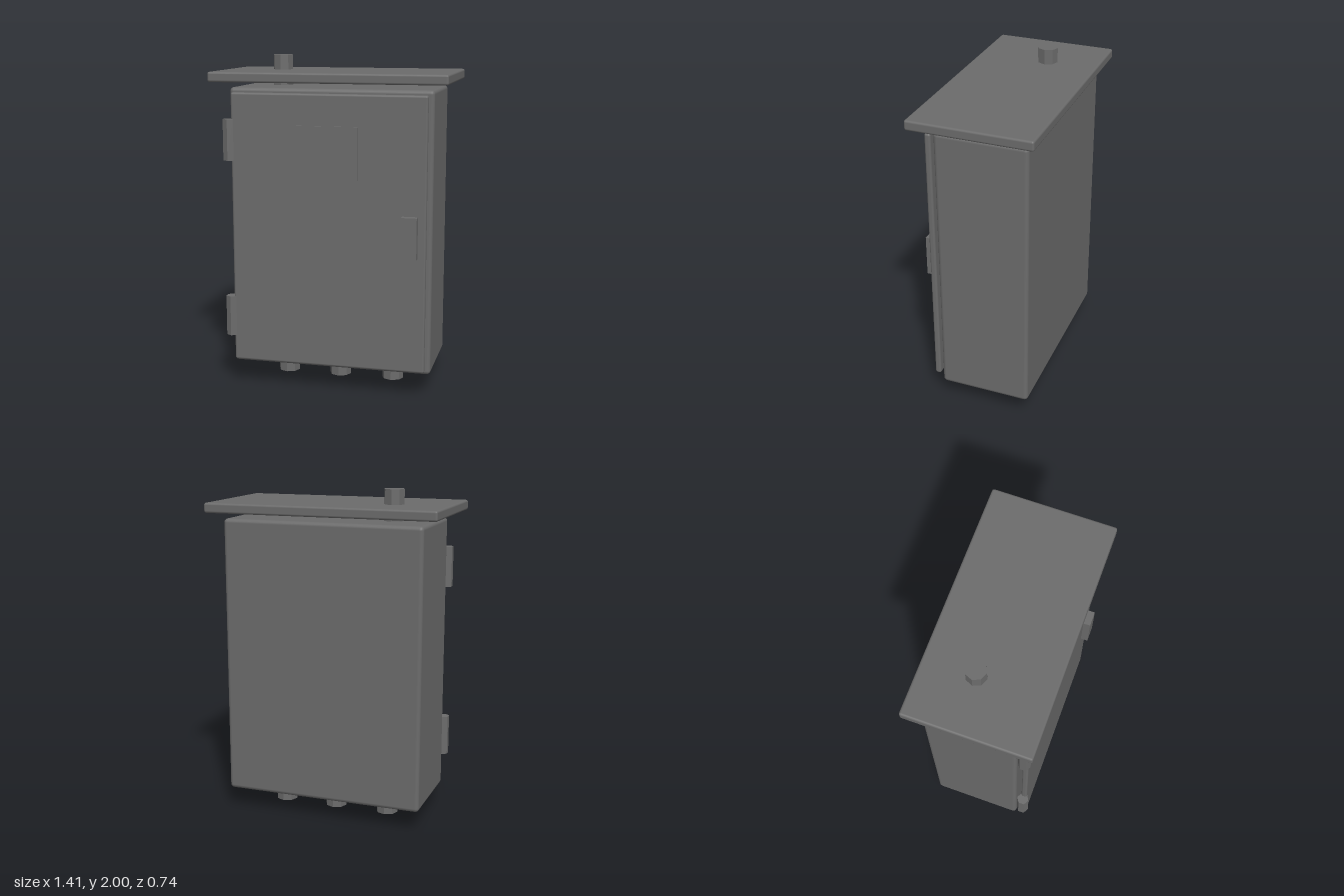
import * as THREE from 'three';
import { RoundedBoxGeometry } from 'three/addons/geometries/RoundedBoxGeometry.js';

export function createModel() {
  const model = new THREE.Group();
  model.name = 'electricalCabinet';
  const smooth = new THREE.MeshStandardMaterial({ color: 0x6b6b6b });
  const faceted = new THREE.MeshStandardMaterial({ color: 0x6b6b6b, flatShading: true });

  function add(name, geometry, material, x, y, z) {
    const mesh = new THREE.Mesh(geometry, material);
    mesh.name = name;
    mesh.position.set(x, y, z);
    model.add(mesh);
  }

  // Housing, door standing slightly proud of it, and rain roof, all with softened edges
  add('housing', new RoundedBoxGeometry(1.226, 1.69, 0.552, 2, 0.024), smooth, 0, 0.971, -0.028);
  add('door', new RoundedBoxGeometry(1.172, 1.635, 0.037, 2, 0.013), smooth, 0, 0.973, 0.293);
  add('roof', new RoundedBoxGeometry(1.413, 0.06, 0.735, 2, 0.013), smooth, 0, 1.881, 0);

  // Door fittings
  add('labelPlate', new THREE.BoxGeometry(0.367, 0.31, 0.02), faceted, 0, 1.45, 0.311);
  add('handle', new THREE.BoxGeometry(0.094, 0.246, 0.05), faceted, 0.491, 0.973, 0.33);

  // Six-sided hinge barrels on the right edge of the door
  for (const [name, y] of [['upperHinge', 1.51], ['lowerHinge', 0.433]]) {
    add(name, new THREE.CylinderGeometry(0.037, 0.037, 0.246, 6), faceted, -0.604, y, 0.293);
  }

  // Conduit through the roof and cable glands under the housing
  add('topConduit', new THREE.CylinderGeometry(0.061, 0.061, 0.21, 8), faceted, -0.37, 1.895, -0.062);
  for (const x of [-0.337, 0, 0.337]) {
    add('cableGland', new THREE.CylinderGeometry(0.067, 0.067, 0.15, 8), faceted, x, 0.075, -0.028);
  }

  return model;
}
